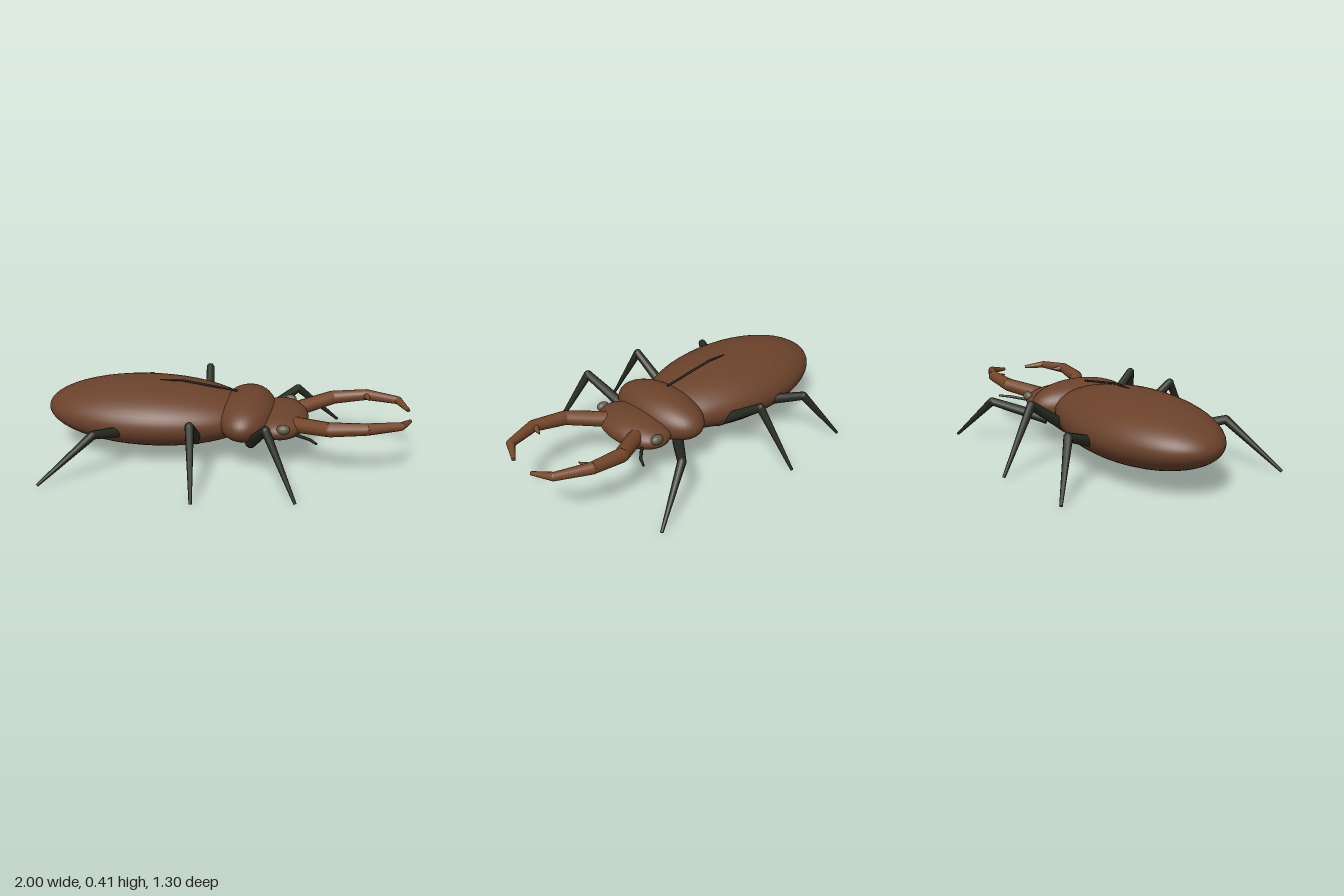
import * as THREE from 'three';

const paint = (name, color) => {
  const m = new THREE.MeshStandardMaterial({ color });
  m.name = name;
  return m;
};

export function createModel() {
  const shell = paint('brown shell', 0x6b422b);
  const horn = paint('light brown jaw', 0x754629);
  const dark = paint('dark green black', 0x272b1f);
  const eyeGrey = paint('olive grey eye', 0x625c49);

  const root = new THREE.Group();
  root.name = 'beetle';

  const add = (parent, name, geometry, material) => {
    const mesh = new THREE.Mesh(geometry, material);
    mesh.name = name;
    parent.add(mesh);
    return mesh;
  };

  const ellipsoid = (parent, name, pos, radii, material, detail = 48) => {
    const g = new THREE.SphereGeometry(1, detail, detail / 2);
    g.rotateZ(Math.PI / 2); // poles along the body axis
    g.scale(...radii);
    return add(parent, name, g, material).position.set(...pos);
  };

  // Tapered rod between two points
  const rod = (parent, name, a, b, ra, rb, material, sides = 10) => {
    const from = new THREE.Vector3(...a), to = new THREE.Vector3(...b);
    const dir = to.clone().sub(from);
    const mesh = add(parent, name, new THREE.CylinderGeometry(rb, ra, dir.length(), sides), material);
    mesh.position.copy(from).add(to).multiplyScalar(0.5);
    mesh.quaternion.setFromUnitVectors(new THREE.Vector3(0, 1, 0), dir.normalize());
  };

  // Chain of rods with rounded joints; each point is [x, y, z, radius]
  const chain = (parent, name, points, material, sides) => {
    const group = new THREE.Group();
    group.name = name;
    parent.add(group);
    points.forEach((p, i) => {
      const a = p.slice(0, 3);
      if (i > 0 && i < points.length - 1) ellipsoid(group, name + 'Joint', a, [p[3], p[3], p[3]], material, 12);
      const q = points[i + 1];
      if (q) rod(group, name + 'Segment', a, q.slice(0, 3), p[3], q[3], material, sides);
    });
  };

  // Body
  ellipsoid(root, 'abdomen', [-0.41, 0.232, 0], [0.59, 0.173, 0.325], shell);
  ellipsoid(root, 'thorax', [0.125, 0.245, 0], [0.16, 0.125, 0.3], shell);
  ellipsoid(root, 'head', [0.31, 0.223, 0], [0.15, 0.08, 0.24], shell);

  // Wing seam along the back
  chain(root, 'wingSeam', [[-0.36, 0.402, 0, 0.005], [-0.24, 0.408, 0, 0.006], [0.07, 0.366, 0, 0.006]], dark, 6);

  // Paired head parts
  for (const s of [1, -1]) {
    const side = s > 0 ? 'right' : 'left';
    ellipsoid(root, side + 'Eye', [0.343, 0.25, s * 0.222], [0.035, 0.026, 0.026], eyeGrey, 20);
    chain(root, side + 'Jaw', [
      [0.40, 0.24, s * 0.12, 0.042],
      [0.58, 0.272, s * 0.233, 0.038],
      [0.765, 0.294, s * 0.248, 0.031],
      [0.935, 0.296, s * 0.185, 0.022],
      [0.988, 0.282, s * 0.075, 0.01],
    ], horn, 12);
    rod(root, side + 'JawTooth', [0.765, 0.294, s * 0.23], [0.782, 0.292, s * 0.165], 0.02, 0.003, horn);
    chain(root, side + 'Antenna', [
      [0.40, 0.205, s * 0.17, 0.009],
      [0.485, 0.222, s * 0.262, 0.008],
      [0.52, 0.23, s * 0.325, 0.006],
    ], dark, 8);
  }

  // Legs in mid-stride: hip, knee, foot
  const legs = {
    rightFrontLeg: [[0.17, 0.15, 0.19], [0.275, 0.335, 0.44], [0.44, 0.008, 0.555]],
    rightMiddleLeg: [[-0.12, 0.15, 0.19], [-0.1, 0.335, 0.455], [-0.06, 0.008, 0.645]],
    rightHindLeg: [[-0.49, 0.19, 0.24], [-0.61, 0.24, 0.43], [-0.87, 0.008, 0.585]],
    leftFrontLeg: [[0.17, 0.15, -0.19], [0.37, 0.24, -0.435], [0.61, 0.008, -0.555]],
    leftMiddleLeg: [[-0.12, 0.15, -0.19], [-0.165, 0.335, -0.455], [-0.23, 0.008, -0.645]],
    leftHindLeg: [[-0.44, 0.18, -0.24], [-0.53, 0.26, -0.45], [-0.7, 0.008, -0.585]],
  };
  const thickness = [0.031, 0.023, 0.008];
  for (const [name, points] of Object.entries(legs)) {
    chain(root, name, points.map((p, i) => [...p, thickness[i]]), dark, 10);
  }

  return root;
}
